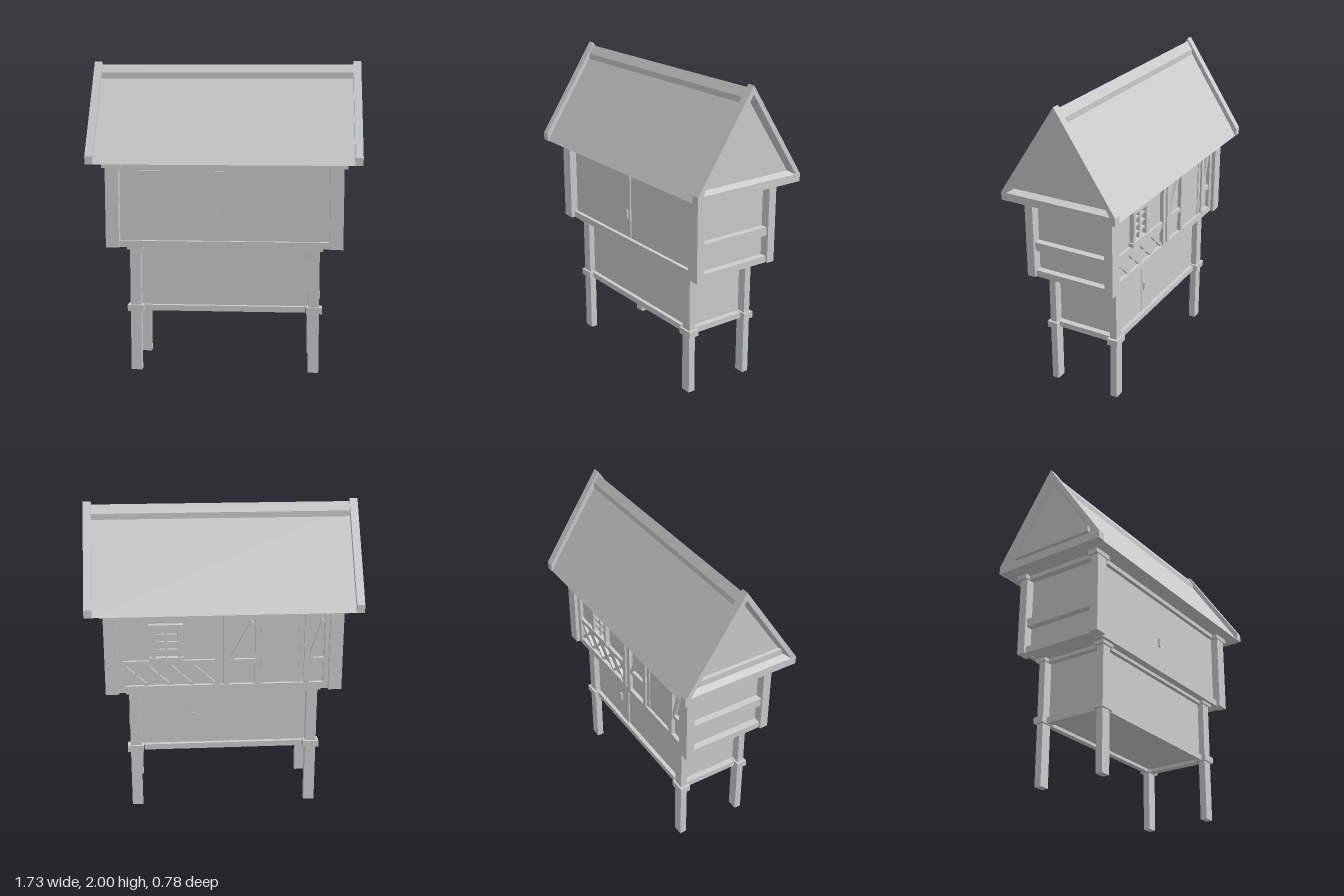
import * as THREE from 'three';

const material = new THREE.MeshStandardMaterial({ color: 0xcccccc, flatShading: true });

export function createModel() {
  const model = new THREE.Group();
  model.name = 'stiltStorehouse';

  const add = (name, geometry) => {
    const mesh = new THREE.Mesh(geometry, material);
    mesh.name = name;
    model.add(mesh);
    return mesh;
  };
  // Box given by its limits on each axis
  const box = (name, x0, x1, y0, y1, z0, z1) =>
    add(name, new THREE.BoxGeometry(x1 - x0, y1 - y0, z1 - z0)
      .translate((x0 + x1) / 2, (y0 + y1) / 2, (z0 + z1) / 2));
  // The same box at all four corners
  const corners = (name, x0, x1, y0, y1, z0, z1) => {
    for (const sx of [-1, 1]) for (const sz of [-1, 1]) {
      box(name, Math.min(sx * x0, sx * x1), Math.max(sx * x0, sx * x1), y0, y1,
        Math.min(sz * z0, sz * z1), Math.max(sz * z0, sz * z1));
    }
  };
  // Four rails around a storey: half length, half depth, inner and outer offsets
  const ring = (name, x, z, y0, y1, xi, xo, zi, zo) => {
    box(name + 'Front', -x, x, y0, y1, zi, zo);
    box(name + 'Back', -x, x, y0, y1, -zo, -zi);
    box(name + 'Left', xi, xo, y0, y1, -z, z);
    box(name + 'Right', -xo, -xi, y0, y1, -z, z);
  };
  // Slanted timber on the back wall between two points
  const brace = (name, x0, y0, x1, y1, width, z0, z1) => {
    const mesh = add(name, new THREE.BoxGeometry(Math.hypot(x1 - x0, y1 - y0), width, z1 - z0));
    mesh.position.set((x0 + x1) / 2, (y0 + y1) / 2, (z0 + z1) / 2);
    mesh.rotation.z = Math.atan2(y1 - y0, x1 - x0);
  };
  // Cross-section in z and y, extruded along x
  const section = (name, points, x0, x1, hole) => {
    const shape = new THREE.Shape(points.map(p => new THREE.Vector2(...p)));
    if (hole) shape.holes.push(new THREE.Path(hole.map(p => new THREE.Vector2(...p))));
    const geometry = new THREE.ExtrudeGeometry(shape, { depth: x1 - x0, bevelEnabled: false });
    return add(name, geometry.rotateY(Math.PI / 2).translate(x0, 0, 0));
  };

  // Lower storey on legs
  corners('leg', 0.54, 0.61, 0, 0.8, 0.2, 0.245);
  corners('legCollar', 0.525, 0.628, 0.393, 0.435, 0.187, 0.258);
  corners('legCap', 0.525, 0.628, 0.8, 0.822, 0.187, 0.258);
  box('lowerWalls', -0.55, 0.55, 0.415, 0.815, -0.205, 0.205);
  ring('lowerBottomRail', 0.52, 0.187, 0.395, 0.432, 0.54, 0.59, 0.195, 0.232);
  ring('lowerTopRail', 0.52, 0.187, 0.8, 0.82, 0.54, 0.59, 0.195, 0.232);

  // Sliding door edge and handle on the lower back wall
  box('lowerDoor', 0.11, 0.53, 0.435, 0.798, -0.211, -0.2);
  box('lowerDoorStile', 0.11, 0.22, 0.435, 0.798, -0.215, -0.2);
  box('lowerDoorHandle', 0.185, 0.21, 0.59, 0.645, -0.226, -0.21);

  // Upper storey
  corners('upperPost', 0.67, 0.755, 0.82, 1.335, 0.25, 0.305);
  corners('upperPostCap', 0.652, 0.777, 1.332, 1.362, 0.243, 0.313);
  box('upperWalls', -0.695, 0.695, 0.822, 1.362, -0.255, 0.255);
  ring('upperBottomRail', 0.67, 0.25, 0.82, 0.862, 0.685, 0.74, 0.25, 0.28);
  ring('upperTopRail', 0.645, 0.243, 1.332, 1.362, 0.685, 0.74, 0.25, 0.28);
  for (const x of [-0.715, 0.715]) {
    box('sideRail', x - 0.025, x + 0.025, 1.0, 1.055, -0.25, 0.25);
  }

  // Sliding door on the front
  box('frontDoor', -0.65, 0, 0.87, 1.31, 0.25, 0.264);
  box('frontDoorHandle', -0.042, -0.02, 1.0, 1.055, 0.26, 0.276);

  // Timber framing on the back
  const zWall = -0.25, zTimber = -0.28;
  for (const [x, w] of [[0.655, 0.03], [0.04, 0.035], [-0.015, 0.035], [-0.215, 0.035],
    [-0.53, 0.035], [-0.655, 0.03]]) {
    box('backStud', x - w / 2, x + w / 2, 0.86, 1.335, zTimber, zWall);
  }
  for (const [x0, x1] of [[0.04, 0.655], [-0.215, -0.015], [-0.655, -0.53]]) {
    box('backMidRail', x0, x1, 1.0, 1.03, zTimber + 0.004, zWall);
  }
  brace('backBrace', -0.05, 1.03, -0.18, 1.28, 0.025, zTimber + 0.006, zWall);
  brace('backBrace', -0.555, 1.03, -0.63, 1.28, 0.025, zTimber + 0.006, zWall);

  // Lattice of crossed slats under the window
  const bays = 4, bay = 0.58 / bays;
  for (let i = 0; i < bays; i++) {
    const x = 0.06 + i * bay;
    brace('latticeSlat', x, 0.865, x + bay, 1.0, 0.02, zTimber + 0.008, zWall);
    brace('latticeSlat', x, 1.0, x + bay, 0.865, 0.02, zTimber + 0.01, zWall);
  }

  // Window with bars
  const wx0 = 0.27, wx1 = 0.46, wy0 = 1.03, wy1 = 1.255;
  for (const x of [wx0, wx1 - 0.025]) box('windowJamb', x, x + 0.025, wy0, wy1, -0.285, zWall);
  box('windowLintel', wx0 - 0.012, wx1 + 0.012, wy1 - 0.01, wy1 + 0.018, -0.29, zWall);
  box('windowSill', wx0 - 0.012, wx1 + 0.012, wy0, wy0 + 0.025, -0.29, zWall);
  box('windowMullion', 0.358, 0.372, wy0, wy1, -0.275, zWall);
  for (let i = 1; i < 4; i++) {
    const y = wy0 + 0.02 + i * 0.05;
    box('windowBar', wx0, wx1, y - 0.006, y + 0.006, -0.272, zWall);
  }

  // Back door with plank strips
  box('backDoor', -0.513, -0.232, 0.865, 1.33, -0.264, zWall);
  for (const x of [-0.495, -0.25]) box('backDoorStile', x - 0.015, x + 0.015, 0.865, 1.33, -0.27, zWall);

  // Roof
  section('roof', [[-0.386, 1.36], [0.386, 1.36], [0, 1.943]], -0.82, 0.82);
  section('ridgeCap', [[-0.035, 1.88], [0.035, 1.88], [0.035, 1.927], [0, 1.98], [-0.035, 1.927]],
    -0.816, 0.816);

  // Gable frames with sloping inner edges
  const outer = [[-0.39, 1.36], [0.39, 1.36], [0.39, 1.41], [0, 2], [-0.39, 1.41]];
  const hole = [[-0.355, 1.41], [0, 1.948], [0.355, 1.41]];
  const inner = [[-0.325, 1.428], [0, 1.912], [0.325, 1.428]];
  for (const side of [1, -1]) {
    section('gableFrame', outer, side > 0 ? 0.815 : -0.865, side > 0 ? 0.865 : -0.815, hole);
    const points = [];
    for (let i = 0; i < 3; i++) {
      const j = (i + 1) % 3;
      const a = [0.864, hole[i][1], hole[i][0]], b = [0.864, hole[j][1], hole[j][0]];
      const c = [0.821, inner[j][1], inner[j][0]], d = [0.821, inner[i][1], inner[i][0]];
      points.push(...a, ...c, ...b, ...a, ...d, ...c);
    }
    const bevel = new THREE.BufferGeometry();
    bevel.setAttribute('position', new THREE.Float32BufferAttribute(points, 3));
    bevel.computeVertexNormals();
    const trim = add('gableTrim', bevel);
    trim.material = material.clone();
    trim.material.side = THREE.DoubleSide;
    if (side < 0) trim.rotation.y = Math.PI;
  }
  // Cross beam in the right gable
  box('gableBeam', -0.845, -0.81, 1.45, 1.49, -0.29, 0.29);

  return model;
}
